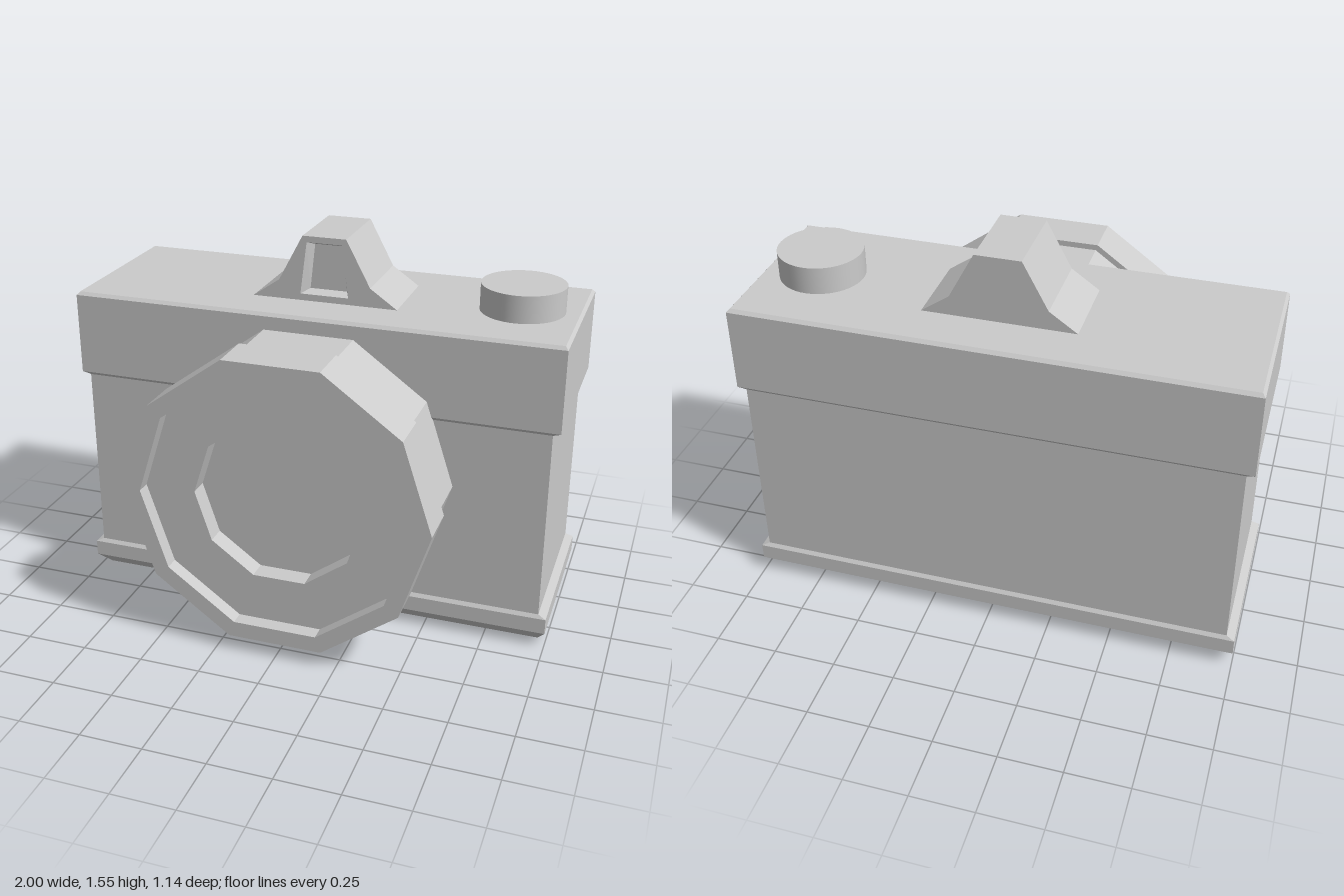
import * as THREE from 'three';

const material = new THREE.MeshStandardMaterial({ color: 0xcccccc, flatShading: true });
const smooth = new THREE.MeshStandardMaterial({ color: 0xcccccc });

// Skins a list of four-cornered rings; the last ring is capped, the first on request.
function loft(rings, capStart) {
  const pos = [];
  const quad = (a, b, c, d) => pos.push(...a, ...b, ...c, ...a, ...c, ...d);
  for (let r = 0; r < rings.length - 1; r++) {
    const a = rings[r], b = rings[r + 1];
    for (let i = 0; i < 4; i++) {
      const j = (i + 1) % 4;
      quad(a[i], a[j], b[j], b[i]);
    }
  }
  quad(...rings[rings.length - 1]);
  if (capStart) quad(...[...rings[0]].reverse());
  const g = new THREE.BufferGeometry();
  g.setAttribute('position', new THREE.Float32BufferAttribute(pos, 3));
  g.computeVertexNormals();
  return g;
}

export function createModel() {
  const group = new THREE.Group();
  const add = (name, geometry, mat = material) => {
    const mesh = new THREE.Mesh(geometry, mat);
    mesh.name = name;
    group.add(mesh);
    return mesh;
  };

  // Body: rectangular sections [y, half width, half depth] from base to top plate
  const midZ = -0.2075;
  const sections = [
    [0, 0.965, 0.297], [0.065, 1, 0.3625], [0.13, 1, 0.3625], [0.145, 0.968, 0.352],
    [0.93, 0.968, 0.352], [0.943, 1, 0.3625], [1.277, 1, 0.3625], [1.29, 0.988, 0.35],
  ];
  add('body', loft(sections.map(([y, w, d]) => [
    [w, y, midZ + d], [w, y, midZ - d], [-w, y, midZ - d], [-w, y, midZ + d],
  ]), true));

  // Lens: ten-sided barrel, wider front ring and two stepped recesses [radius, z]
  const profile = [
    [0.595, 0.12], [0.595, 0.388], [0.62, 0.388], [0.62, 0.57],
    [0.55, 0.57], [0.55, 0.51], [0.345, 0.51], [0.345, 0.43], [0, 0.43],
  ].map(([r, z]) => new THREE.Vector2(r, z));
  const lens = add('lens', new THREE.LatheGeometry(profile, 10, Math.PI / 2).rotateX(Math.PI / 2));
  lens.position.y = 0.656;

  // Viewfinder hump: solid rear part and a front part with a window opening
  const outline = () => new THREE.Shape([
    [-0.305, 1.287], [0.305, 1.287], [0.19, 1.367], [0.09, 1.555], [-0.09, 1.555], [-0.19, 1.367],
  ].map(p => new THREE.Vector2(...p)));
  const windowOuter = [[-0.1, 1.317], [0.1, 1.317], [0.073, 1.53], [-0.073, 1.53]];
  const windowInner = [[-0.077, 1.325], [0.077, 1.325], [0.057, 1.51], [-0.057, 1.51]];
  const frontZ = -0.043, windowZ = -0.103, backZ = -0.372;
  const slab = (shape, z0, z1) =>
    new THREE.ExtrudeGeometry(shape, { depth: z1 - z0, bevelEnabled: false }).translate(0, 0, z0);
  const frame = outline();
  frame.holes.push(new THREE.Path(windowOuter.map(p => new THREE.Vector2(...p))));
  add('viewfinderHousing', slab(outline(), backZ, windowZ));
  add('viewfinderFrame', slab(frame, windowZ, frontZ));

  // Tapered window recess, just in front of the solid part
  add('viewfinderWindow', loft([
    windowOuter.map(([x, y]) => [x, y, frontZ]),
    windowInner.map(([x, y]) => [x, y, windowZ + 0.002]),
  ], false));

  // Round dial on the top plate
  const dial = add('dial', new THREE.CylinderGeometry(0.168, 0.168, 0.12, 48), smooth);
  dial.position.set(0.765, 1.34, -0.208);

  return group;
}
